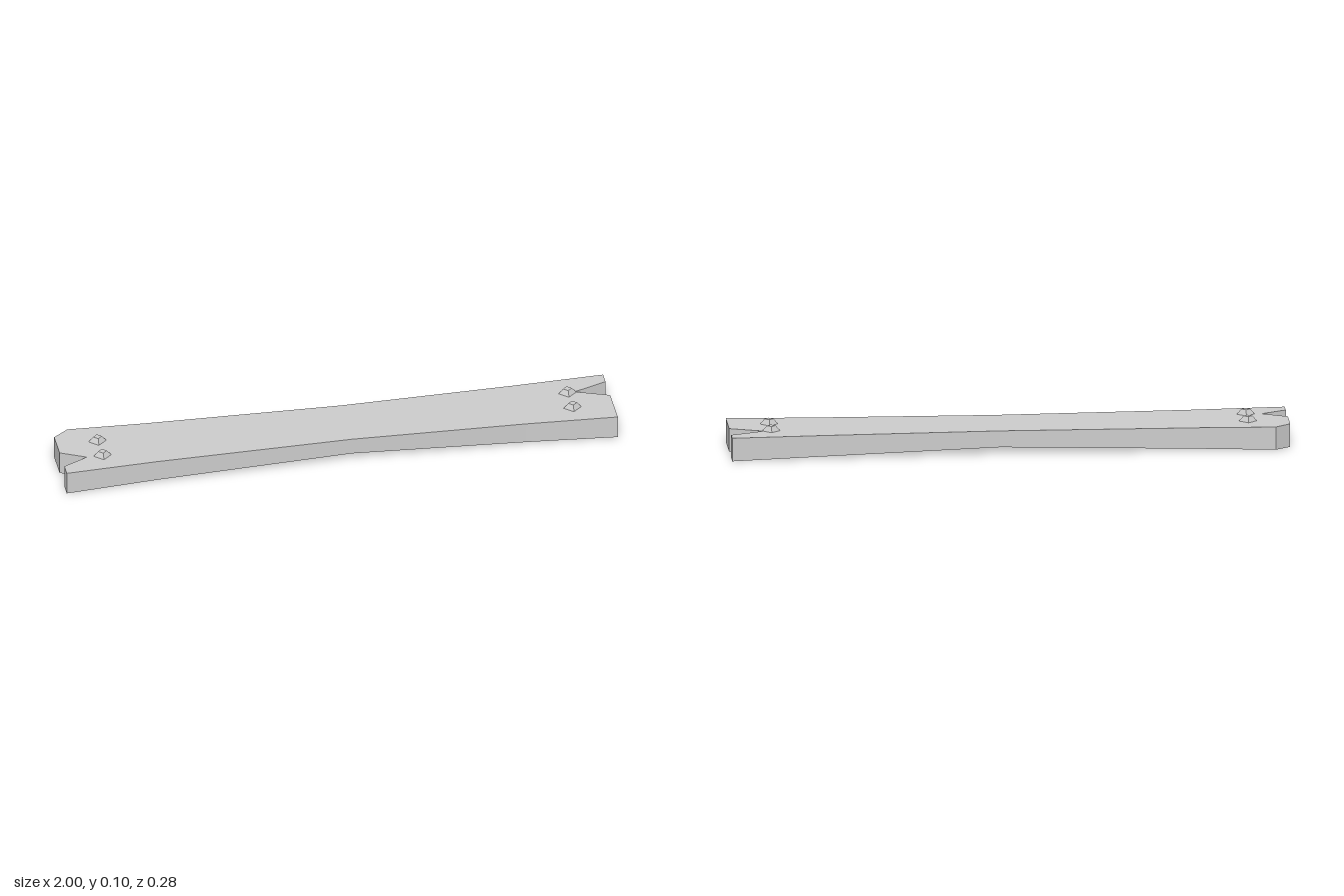
import * as THREE from 'three';

const TOP = 0.085;

// Stations along the waisted, arched middle: x, front z, back z, underside y
const STATIONS = [
  [-0.67, 0.126, -0.13, 0.008],
  [0.04, 0.11, -0.116, 0.025],
  [0.67, 0.126, -0.13, 0.008],
];

// Notched ends as [x, z], each running anticlockwise seen from above
const RIGHT_END = [[1, 0.142], [1, -0.005], [0.88, -0.05], [1, -0.095], [1, -0.142]];
const LEFT_END = [[-0.945, -0.142], [-1, -0.1], [-1, 0.005], [-0.91, 0.05], [-1, 0.095], [-1, 0.142]];

// Underside height, easing from the raised middle down to the ends
function underside(x) {
  const line = [[-1, 0], ...STATIONS.map((s) => [s[0], s[3]]), [1, 0]];
  for (let i = 1; i < line.length; i++) {
    const [x0, y0] = line[i - 1];
    const [x1, y1] = line[i];
    if (x <= x1) return y0 + (y1 - y0) * (x - x0) / (x1 - x0);
  }
  return 0;
}

function plankGeometry() {
  const positions = [];
  const top = ([x, z]) => [x, TOP, z];
  const bottom = ([x, z]) => [x, underside(x), z];
  const triangle = (a, b, c) => positions.push(...a, ...b, ...c);

  const front = STATIONS.map((s) => [s[0], s[1]]);
  const back = STATIONS.map((s) => [s[0], s[2]]);
  const last = STATIONS.length - 1;

  // Top and underside, panel by panel
  const panels = [
    [front[0], back[0], ...LEFT_END],
    [front[last], ...RIGHT_END, back[last]],
  ];
  for (let i = 0; i < last; i++) panels.push([front[i], front[i + 1], back[i + 1], back[i]]);
  for (const panel of panels) {
    const contour = panel.map(([x, z]) => new THREE.Vector2(x, -z));
    for (const [a, b, c] of THREE.ShapeUtils.triangulateShape(contour, [])) {
      triangle(top(panel[a]), top(panel[b]), top(panel[c]));
      triangle(bottom(panel[a]), bottom(panel[c]), bottom(panel[b]));
    }
  }

  // Side walls around the whole outline
  const outline = [...front, ...RIGHT_END, ...back.slice().reverse(), ...LEFT_END];
  outline.forEach((p, i) => {
    const q = outline[(i + 1) % outline.length];
    triangle(bottom(p), bottom(q), top(q));
    triangle(bottom(p), top(q), top(p));
  });

  const geometry = new THREE.BufferGeometry();
  geometry.setAttribute('position', new THREE.Float32BufferAttribute(positions, 3));
  geometry.computeVertexNormals();
  return geometry;
}

export function createModel() {
  const model = new THREE.Group();
  model.name = 'woodenPlank';
  const material = new THREE.MeshStandardMaterial({ color: 0xcccccc, flatShading: true });

  const plank = new THREE.Mesh(plankGeometry(), material);
  plank.name = 'plank';
  model.add(plank);

  // Four faceted nail heads, a pair near each end
  const nailGeometry = new THREE.CylinderGeometry(0.016, 0.032, 0.019, 4);
  nailGeometry.scale(1, 1, 0.9);
  for (const x of [-0.853, 0.853]) {
    for (const z of [-0.047, 0.05]) {
      const nail = new THREE.Mesh(nailGeometry, material);
      nail.name = `${x < 0 ? 'right' : 'left'}${z < 0 ? 'Back' : 'Front'}Nail`;
      nail.position.set(x, TOP + 0.0095, z);
      model.add(nail);
    }
  }
  return model;
}
